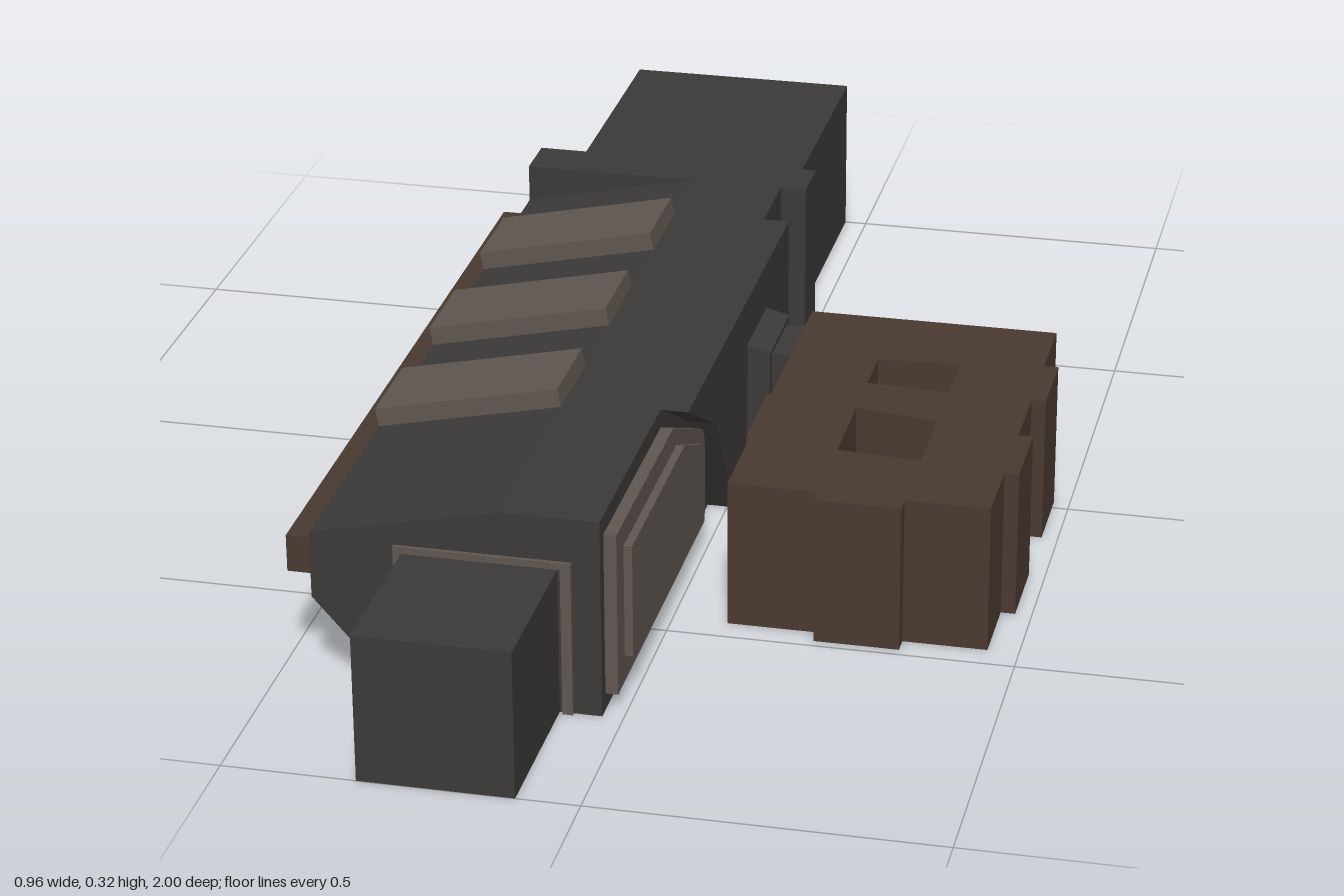
import * as THREE from 'three';

const dark = new THREE.MeshStandardMaterial({ color: 0x3c3a38 });
const worn = new THREE.MeshStandardMaterial({ color: 0x5f5650 });
const rust = new THREE.MeshStandardMaterial({ color: 0x4a3a30 });

const BASE = 0.085;

export function createModel() {
  const model = new THREE.Group();

  const add = (name, geometry, material = dark) => {
    const mesh = new THREE.Mesh(geometry, material);
    mesh.name = name;
    model.add(mesh);
    return mesh;
  };

  // Box given by its limits on each axis
  const box = (name, [x0, x1], [y0, y1], [z0, z1], material) => {
    const g = new THREE.BoxGeometry(x1 - x0, y1 - y0, z1 - z0);
    g.translate((x0 + x1) / 2, (y0 + y1) / 2, (z0 + z1) / 2);
    return add(name, g, material);
  };

  const outline = (points) => new THREE.Shape(points.map(([a, b]) => new THREE.Vector2(a, b)));
  const extrude = (shape, depth) => new THREE.ExtrudeGeometry(shape, { depth, bevelEnabled: false });

  // Profile in x, y swept along z
  const sweepZ = (name, points, z0, z1, material) =>
    add(name, extrude(outline(points), z1 - z0).translate(0, 0, z0), material);

  // Profile in z, y swept along x
  const sweepX = (name, points, x0, x1, material) =>
    add(name, extrude(outline(points), x1 - x0).rotateY(-Math.PI / 2).translate(x1, 0, 0), material);

  // Main housing with sloped roof and chamfered lower edge
  sweepZ('housing', [
    [-0.365, BASE], [-0.03, BASE], [-0.03, 0.383], [-0.17, 0.383],
    [-0.44, 0.325], [-0.44, 0.225], [-0.365, 0.14],
  ], -0.45, 0.76);
  box('rearCollar', [-0.44, 0.01], [BASE, 0.383], [-0.51, -0.43]);

  // End blocks
  box('rearBlock', [-0.395, -0.035], [BASE, 0.335], [-1, -0.51]);
  box('frontBlock', [-0.31, -0.09], [BASE, 0.305], [0.76, 1]);
  sweepZ('frontFrame', [
    [-0.32, BASE], [-0.31, BASE], [-0.31, 0.308], [-0.085, 0.308],
    [-0.085, BASE], [-0.07, BASE], [-0.07, 0.318], [-0.32, 0.318],
  ], 0.755, 0.766, worn);

  // Side armour with a slanted front edge, and raised panels ahead of it
  sweepX('sideArmour', [
    [-0.3, BASE], [0.1, BASE], [0.22, 0.28], [0.4, 0.383], [-0.3, 0.383],
  ], -0.04, 0.01);
  sweepX('sidePanel', [
    [0.2, 0.11], [0.74, 0.11], [0.74, 0.355], [0.4, 0.355], [0.2, 0.26],
  ], -0.04, -0.012, worn);
  sweepX('sidePanelInset', [
    [0.25, 0.15], [0.7, 0.15], [0.7, 0.32], [0.38, 0.32], [0.25, 0.26],
  ], -0.03, 0, worn);

  // Rail along the opposite side
  box('sideRail', [-0.48, -0.43], [0.25, 0.305], [-0.42, 0.74], rust);

  // Three tilted roof plates
  for (const z of [0.35, 0.065, -0.22]) {
    sweepZ('roofPlate', [
      [-0.44, 0.325], [-0.17, 0.383], [-0.175, 0.41], [-0.445, 0.352],
    ], z - 0.071, z + 0.071, worn);
  }

  // Stepped neck joining the frame
  const neck = add('neckBase', extrude(outline([
    [0, BASE], [0.01, BASE], [0.045, 0.095], [0.045, 0.3], [0.01, 0.31], [0, 0.31],
  ]), 0.14));
  neck.position.z = -0.135;
  box('neck', [0.04, 0.085], [0.1, 0.292], [-0.12, -0.01]);

  // Open frame with two through holes, drawn in x, -z
  const frame = outline([[0.08, -0.46], [0.455, -0.46], [0.455, 0.14], [0.08, 0.14]]);
  const holes = [
    [[0.21, -0.01], [0.333, 0], [0.333, -0.1], [0.21, -0.093]],
    [[0.21, -0.18], [0.333, -0.2], [0.333, -0.332], [0.21, -0.322]],
  ];
  for (const h of holes) frame.holes.push(new THREE.Path(h.map(([a, b]) => new THREE.Vector2(a, b))));
  add('gripFrame', extrude(frame, 0.308 - BASE).rotateX(-Math.PI / 2).translate(0, BASE, 0), rust);

  // Ribs on the outside of the frame
  const ribHeight = [BASE, 0.308];
  box('outerRib', [0.45, 0.476], ribHeight, [-0.02, 0.1], rust);
  box('outerRib', [0.45, 0.476], ribHeight, [0.22, 0.345], rust);
  box('frontRib', [0.21, 0.333], ribHeight, [0.45, 0.486], rust);
  box('innerRib', [0.074, 0.09], ribHeight, [0.16, 0.31], rust);

  return model;
}
